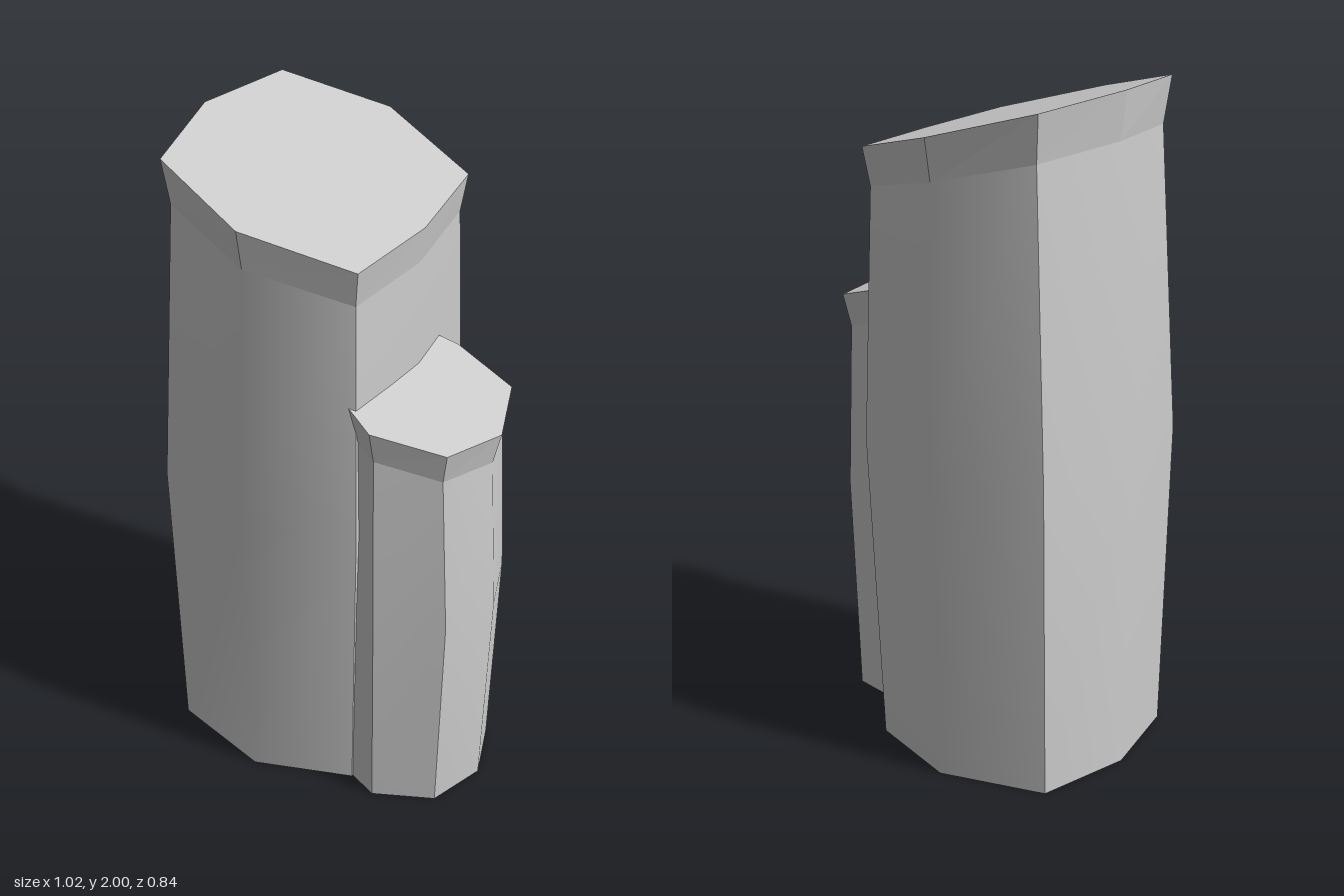
import * as THREE from 'three';
import { toCreasedNormals } from 'three/addons/utils/BufferGeometryUtils.js';

// Eight-sided cross-section, running from +x towards +z.
// x: [left, left corner, middle, right corner, right]
// z: [front, front corner, tip, back corner, back]
// y follows a slanted plane: y0 + slope * x
function ring([l, lc, m, rc, r], [f, fc, t, bc, b], y0, slope = 0) {
  const plan = [[r, t], [rc, fc], [m, f], [lc, fc], [l, t], [lc, bc], [m, b], [rc, bc]];
  return plan.map(([x, z]) => new THREE.Vector3(x, y0 + slope * x, z));
}

// Skin over successive rings, closed at the bottom or the top as asked
function loft(rings, closeBottom, closeTop) {
  const points = [];
  const tri = (...vs) => vs.forEach((v) => points.push(v.x, v.y, v.z));
  const middle = (loop) => loop.reduce((s, v) => s.add(v), new THREE.Vector3()).divideScalar(loop.length);
  const n = rings[0].length;
  const low = rings[0];
  const high = rings[rings.length - 1];
  for (let i = 0; i < n; i++) {
    const j = (i + 1) % n;
    for (let k = 0; k + 1 < rings.length; k++) {
      const [a, b] = [rings[k], rings[k + 1]];
      tri(a[i], b[i], a[j]);
      tri(a[j], b[i], b[j]);
    }
    if (closeBottom) tri(middle(low), low[i], low[j]);
    if (closeTop) tri(middle(high), high[j], high[i]);
  }
  const geometry = new THREE.BufferGeometry();
  geometry.setAttribute('position', new THREE.Float32BufferAttribute(points, 3));
  return geometry;
}

// Bulging shaft with a flared, slanted cap on top
function column(name, base, belly, neck, brim) {
  const group = new THREE.Group();
  group.name = name;
  const shaft = new THREE.Mesh(
    toCreasedNormals(loft([base, belly, neck], true, false), 0.75),
    new THREE.MeshStandardMaterial({ color: 0xcccccc })
  );
  shaft.name = 'shaft';
  const capGeometry = loft([neck, brim], false, true);
  capGeometry.computeVertexNormals();
  const cap = new THREE.Mesh(
    capGeometry,
    new THREE.MeshStandardMaterial({ color: 0xcccccc, flatShading: true })
  );
  cap.name = 'cap';
  group.add(shaft, cap);
  return group;
}

export function createModel() {
  const model = new THREE.Group();
  model.name = 'twinColumns';

  // Tall column
  model.add(column('tallColumn',
    ring([-0.505, -0.44, -0.13, 0.16, 0.19], [0.385, 0.29, 0, -0.29, -0.385], 0),
    ring([-0.515, -0.445, -0.13, 0.19, 0.215], [0.42, 0.318, 0, -0.318, -0.42], 0.95),
    ring([-0.455, -0.395, -0.115, 0.175, 0.205], [0.388, 0.295, 0, -0.295, -0.388], 1.742, -0.26),
    ring([-0.47, -0.41, -0.115, 0.19, 0.22], [0.41, 0.31, 0, -0.31, -0.41], 1.864, -0.29)));

  // Short column grown into the tall one's side
  model.add(column('shortColumn',
    ring([0.03, 0.08, 0.25, 0.425, 0.485], [0.325, 0.25, 0.078, -0.095, -0.125], 0),
    ring([0.03, 0.08, 0.255, 0.447, 0.51], [0.335, 0.255, 0.075, -0.105, -0.135], 0.68),
    ring([0.03, 0.08, 0.25, 0.422, 0.485], [0.33, 0.25, 0.075, -0.11, -0.138], 1.33, -0.33),
    ring([0.02, 0.07, 0.25, 0.44, 0.507], [0.355, 0.265, 0.07, -0.125, -0.16], 1.435, -0.33)));

  return model;
}
